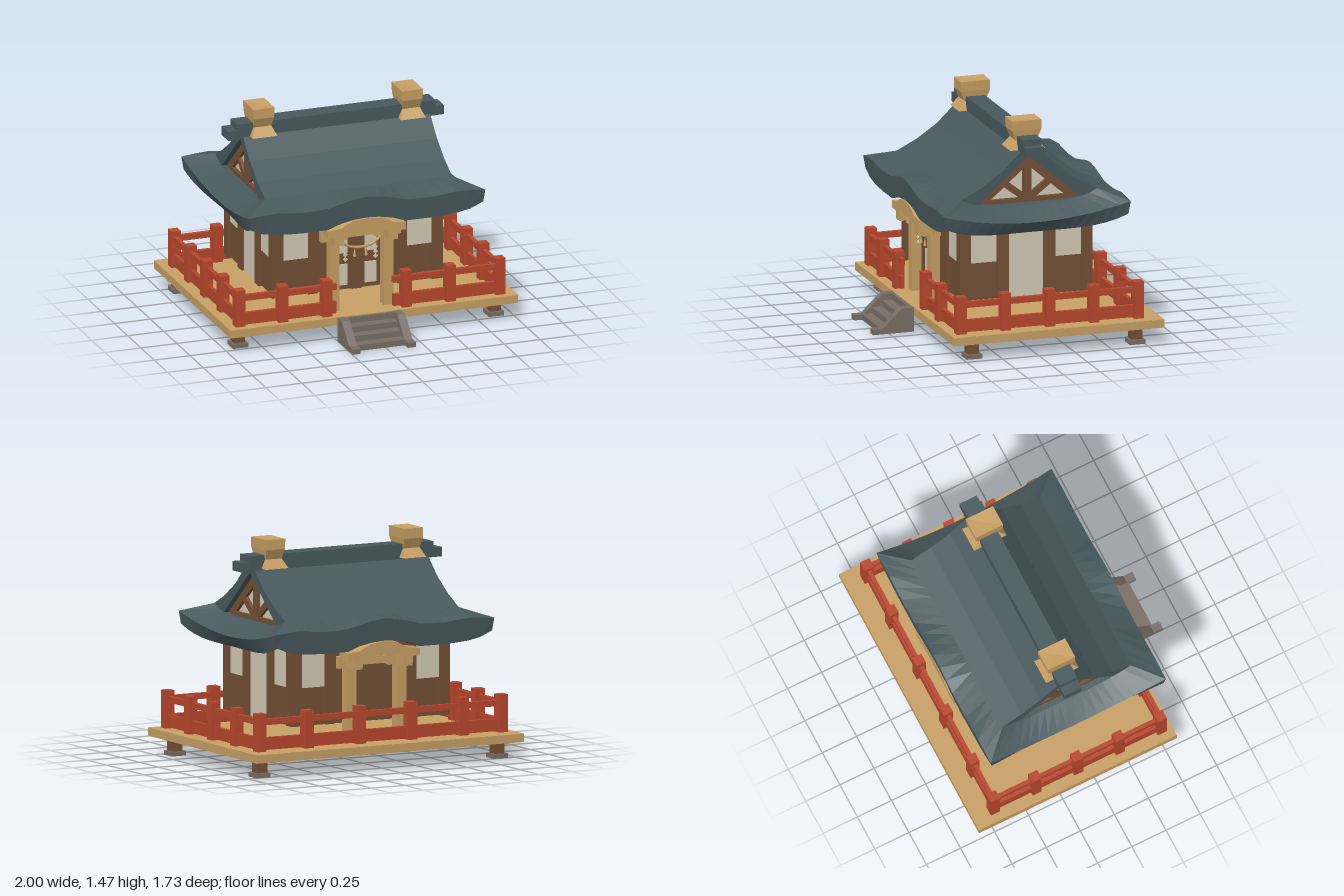
import * as THREE from 'three';

const mat = (name, color, extra = {}) => {
  const m = new THREE.MeshStandardMaterial({ color, ...extra });
  m.name = name;
  return m;
};

// Piecewise linear lookup, symmetric around zero
const lookup = (pts, v) => {
  const a = Math.abs(v);
  for (let i = 1; i < pts.length; i++) {
    const [x0, y0] = pts[i - 1], [x1, y1] = pts[i];
    if (a <= x1) return y0 + (y1 - y0) * (a - x0) / (x1 - x0);
  }
  return pts[pts.length - 1][1];
};

// Faceted surface through rows of points
function loft(rows, closed = false) {
  const pos = [];
  for (let r = 0; r < rows.length - 1; r++) {
    const n = rows[r].length;
    for (let i = 0; i < (closed ? n : n - 1); i++) {
      const j = (i + 1) % n;
      const a = rows[r][i], b = rows[r][j], c = rows[r + 1][i], d = rows[r + 1][j];
      pos.push(...a, ...c, ...b, ...b, ...c, ...d);
    }
  }
  const g = new THREE.BufferGeometry();
  g.setAttribute('position', new THREE.Float32BufferAttribute(pos, 3));
  g.computeVertexNormals();
  return g;
}

export function createModel() {
  const root = new THREE.Group();
  root.name = 'shrine';
  const wood = mat('brownWood', 0x745036);
  const tan = mat('paleWood', 0xc8a064);
  const red = mat('redPaint', 0xb8472d);
  const stone = mat('stone', 0x7a6e66);
  const paper = mat('paper', 0xd4cab5);
  const tile = mat('roofTile', 0x48595e, { flatShading: true, side: THREE.DoubleSide });

  const add = (parent, name, geo, m) => {
    const mesh = new THREE.Mesh(geo, m);
    mesh.name = name;
    parent.add(mesh);
    return mesh;
  };
  const box = (parent, name, m, x0, x1, y0, y1, z0, z1) => {
    const mesh = add(parent, name, new THREE.BoxGeometry(x1 - x0, y1 - y0, z1 - z0), m);
    mesh.position.set((x0 + x1) / 2, (y0 + y1) / 2, (z0 + z1) / 2);
    return mesh;
  };
  const extrude = (pts, depth) => new THREE.ExtrudeGeometry(
    new THREE.Shape(pts.map(p => new THREE.Vector2(...p))), { depth, bevelEnabled: false });

  // Deck on four short legs
  box(root, 'deck', tan, -1, 1, 0.115, 0.17, -0.865, 0.585);
  for (const x of [-0.89, 0.888]) for (const z of [0.425, -0.7]) {
    box(root, 'deckLeg', wood, x - 0.037, x + 0.037, 0.03, 0.115, z - 0.037, z + 0.037);
    box(root, 'footStone', stone, x - 0.053, x + 0.053, 0, 0.03, z - 0.053, z + 0.053);
  }

  // Front steps between two sloping cheeks
  for (let i = 0; i < 4; i++)
    box(root, 'step', stone, -0.2, 0.13, 0.005, 0.045 + 0.04 * i, 0.58, 0.81 - 0.068 * i);
  for (const x of [-0.2, 0.185]) {
    const cheek = add(root, 'stepCheek', extrude(
      [[0.585, 0.005], [0.865, 0.005], [0.865, 0.04], [0.8, 0.04], [0.665, 0.168], [0.585, 0.168]], 0.055), stone);
    cheek.rotation.y = -Math.PI / 2;
    cheek.position.x = x;
  }

  // Red railing, open at the steps
  const rail = new THREE.Group();
  rail.name = 'railing';
  root.add(rail);
  const post = (x, z) => box(rail, 'railPost', red, x - 0.033, x + 0.033, 0.17, 0.42, z - 0.033, z + 0.033);
  const bars = (x0, x1, z0, z1) => {
    for (const [y0, y1, t] of [[0.342, 0.382, 0.014], [0.178, 0.26, 0.012]])
      box(rail, 'railBar', red, x0 - t, x1 + t, y0, y1, z0 - t, z1 + t);
  };
  const L = -0.912, R = 0.895, F = 0.507, B = -0.715;
  for (const x of [L, R]) {
    for (let i = 0; i < 5; i++) post(x, F + (B - F) * i / 4);
    bars(x, x, B, F);
  }
  for (const x of [-0.62, -0.315, 0.24, 0.545]) post(x, 0.522);
  for (const x of [-0.62, -0.235, 0.15, 0.54]) post(x, B);
  bars(L, -0.255, 0.515, 0.515);
  bars(0.165, R, 0.515, 0.515);
  bars(L, R, B, B);

  // Everything below is centred on the building
  const hall = new THREE.Group();
  hall.name = 'hall';
  hall.position.set(-0.045, 0, -0.067);
  root.add(hall);
  box(hall, 'walls', wood, -0.57, 0.57, 0.28, 0.86, -0.44, 0.44);
  for (const x of [-0.555, 0.555]) for (const z of [-0.42, 0.42])
    box(hall, 'cornerColumn', wood, x - 0.038, x + 0.038, 0.28, 0.84, z - 0.037, z + 0.037);

  // Front doors
  for (const s of [-1, 1]) for (const [y0, y1] of [[0.31, 0.455], [0.53, 0.75]])
    box(hall, 'doorPane', paper, s * 0.1 - 0.046, s * 0.1 + 0.034, y0, y1, 0.44, 0.446);
  box(hall, 'doorPost', wood, -0.042, 0.03, 0.28, 0.8, 0.44, 0.455);

  // Roof profile: distance from the ridge, height
  const slope = [[0, 1.315], [0.06, 1.275], [0.19, 1.15], [0.33, 1.055], [0.47, 0.985]];
  const eaveTop = [[0, 0.978], [0.1, 0.968], [0.28, 0.925], [0.45, 0.92], [0.65, 0.94], [0.82, 0.925]];
  const eaveLow = [[0, 0.83], [0.15, 0.82], [0.26, 0.775], [0.5, 0.775], [0.7, 0.79], [0.82, 0.84]];
  const N = 18;
  const row = f => Array.from({ length: N + 1 }, (_, i) => f(2 * i / N - 1));

  // Each half carries a long face (+z) and a gable end (+x)
  for (const angle of [0, Math.PI]) {
    const half = new THREE.Group();
    half.name = angle ? 'backHalf' : 'frontHalf';
    half.rotation.y = angle;
    hall.add(half);

    add(half, 'roofSlope', loft([
      ...slope.map(([z, y]) => row(u => [0.65 * u, y, z])),
      row(u => [0.82 * u, lookup(eaveTop, 0.82 * u), 0.642]),
      row(u => [0.81 * u, lookup(eaveLow, 0.82 * u), 0.63]),
      row(u => [0.56 * u, 0.82, 0.42]),
    ]), tile);
    add(half, 'roofSkirt', loft([
      row(v => [0.56, 0.93, -0.47 * v]),
      row(v => [0.65, 0.92 + 0.065 * v ** 4, -0.47 * v]),
      row(v => [0.803 + 0.017 * v * v, 0.835 + 0.09 * v * v, -0.642 * v]),
      row(v => [0.755 + 0.055 * v * v, 0.76 + 0.08 * v ** 4, -0.63 * v]),
      row(v => [0.56, 0.82, -0.42 * v]),
    ]), tile);

    // Gable: thick roof edge, paper wall and timber frame
    const gable = new THREE.Group();
    gable.name = 'gable';
    gable.rotation.y = Math.PI / 2;
    half.add(gable);
    for (const s of [-1, 1]) {
      const edge = [...slope, [0.47, 0.93], [0.36, 0.93], [0, 1.245]].map(([z, y]) => [s * z, y]);
      add(gable, 'gableEdge', extrude(edge, 0.07), tile).position.z = 0.578;
    }
    add(gable, 'gablePanel', extrude([[-0.38, 0.91], [0.38, 0.91], [0, 1.25]], 0.008), paper).position.z = 0.58;
    const beam = (x0, y0, x1, y1, w) => {
      const b = add(gable, 'gableBeam', new THREE.BoxGeometry(Math.hypot(x1 - x0, y1 - y0), w, 0.025), wood);
      b.position.set((x0 + x1) / 2, (y0 + y1) / 2, 0.598);
      b.rotation.z = Math.atan2(y1 - y0, x1 - x0);
    };
    beam(-0.34, 0.935, 0.34, 0.935, 0.04);
    beam(0, 0.93, 0, 1.22, 0.055);
    for (const s of [-1, 1]) {
      beam(s * 0.34, 0.925, 0, 1.218, 0.065);
      beam(0, 0.94, s * 0.175, 1.075, 0.045);
    }

    // Long wall windows and columns
    for (const s of [-1, 1]) {
      box(half, 'window', paper, s * 0.43 - 0.088, s * 0.43 + 0.088, 0.53, 0.79, 0.44, 0.447);
      box(half, 'wallColumn', wood, s * 0.31 - 0.032, s * 0.31 + 0.032, 0.28, 0.8, 0.43, 0.458);
      // End wall windows and columns
      box(half, 'sideWindow', paper, 0.57, 0.577, 0.53, 0.79, s * 0.292 - 0.09, s * 0.292 + 0.09);
      box(half, 'sideColumn', wood, 0.56, 0.592, 0.28, 0.8, s * 0.16 - 0.04, s * 0.16 + 0.04);
    }
    box(half, 'sidePanel', paper, 0.57, 0.577, 0.28, 0.8, -0.12, 0.12);

    // Porch: two pillars, brackets, lintel and arched fascia
    for (const s of [-1, 1]) {
      const x = s * 0.187;
      box(half, 'porchPillar', tan, x - 0.034, x + 0.034, 0.17, 0.74, 0.467, 0.535);
      box(half, 'porchBracket', tan, x - 0.034, x + 0.034, 0.65, 0.725, 0.53, 0.62);
      box(half, 'bracketArm', tan, x - 0.09, x + 0.09, 0.65, 0.73, 0.482, 0.522);
    }
    box(half, 'porchLintel', tan, -0.24, 0.24, 0.665, 0.715, 0.49, 0.52);
    const arch = [[0, 0.826], [0.1, 0.815], [0.18, 0.775], [0.27, 0.765], [0.27, 0.715], [0.17, 0.715], [0.09, 0.735]];
    const outline = [...arch, ...arch.slice(1).reverse().map(([x, y]) => [-x, y])];
    add(half, 'porchArch', extrude(outline, 0.115), tan).position.z = 0.518;
  }

  // Ridge beam
  box(hall, 'ridgeBeam', tile, -0.688, 0.688, 1.26, 1.365, -0.07, 0.06);
  box(hall, 'ridgeEnds', tile, -0.752, 0.748, 1.26, 1.322, -0.068, 0.058);

  // Flared ridge ornaments, capped above and below
  const ring = (y, a, b) => [[-a, y, b], [a, y, b], [a, y, -b], [-a, y, -b]];
  for (const x of [-0.517, 0.515]) {
    const geo = loft([ring(1.46, 0, 0), ring(1.467, 0.073, 0.1), ring(1.4, 0.07, 0.1),
      ring(1.335, 0.06, 0.074), ring(1.275, 0.086, 0.12), ring(1.275, 0, 0)], true);
    add(hall, 'ridgeOrnament', geo, tan).position.set(x, 0, -0.005);
  }

  // Hanging rope with paper tags and tassels
  const curve = new THREE.CatmullRomCurve3([[-0.16, 0.665], [-0.09, 0.605], [0, 0.585], [0.09, 0.605], [0.16, 0.665]]
    .map(([x, y]) => new THREE.Vector3(x, y, 0.51)));
  add(hall, 'rope', new THREE.TubeGeometry(curve, 16, 0.009, 6), tan);
  for (const x of [-0.105, 0.105]) for (let i = 0; i < 3; i++) {
    const tag = add(hall, 'paperTag', new THREE.BoxGeometry(0.024, 0.024, 0.006), paper);
    tag.position.set(x, 0.575 - 0.032 * i, 0.51);
    tag.rotation.z = Math.PI / 4;
  }
  for (const x of [-0.04, 0.04])
    add(hall, 'tassel', new THREE.ConeGeometry(0.012, 0.06, 6), tan).position.set(x, 0.555, 0.51);

  return root;
}
